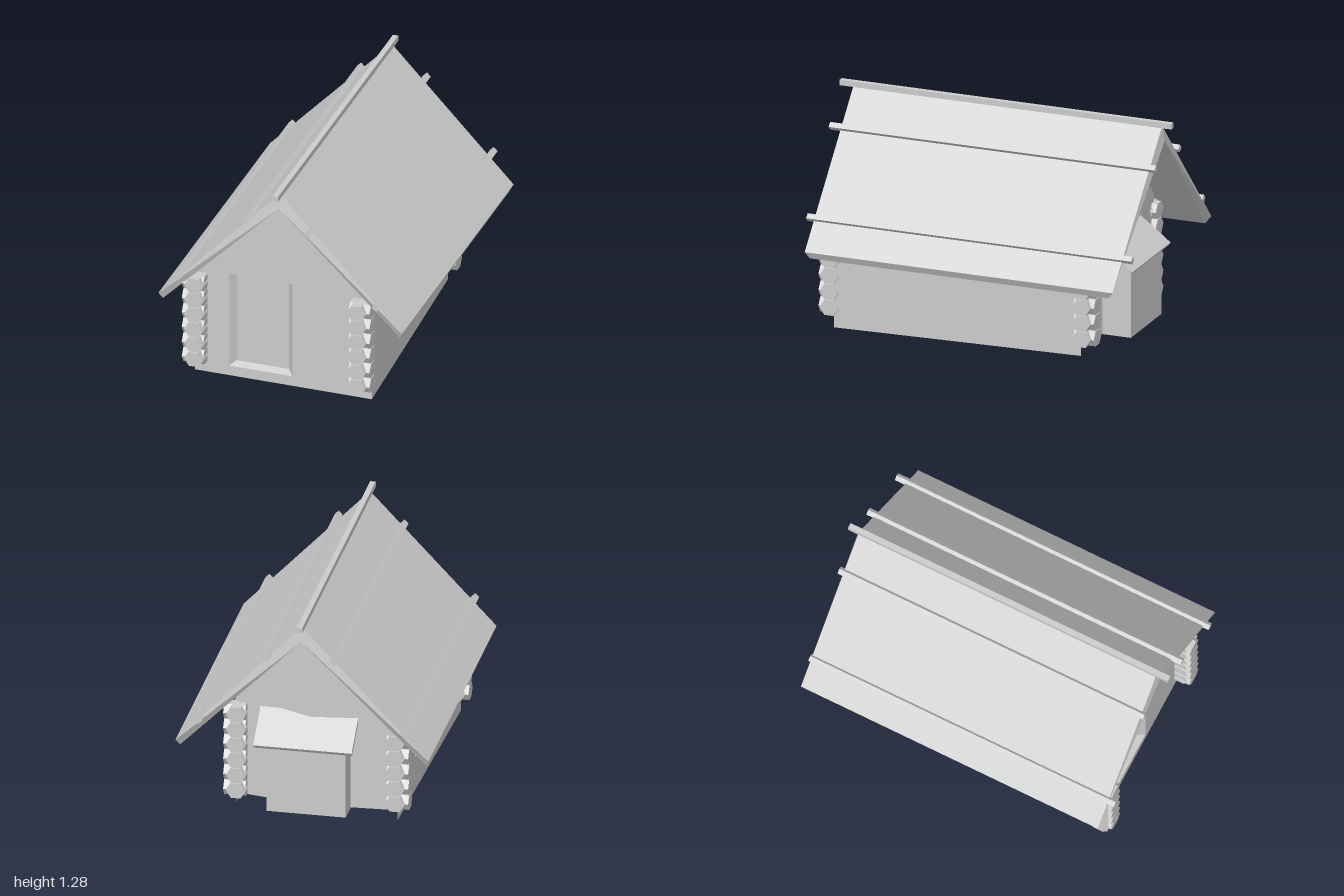
import * as THREE from 'three';

const material = new THREE.MeshStandardMaterial({ color: 0xcccccc, flatShading: true, side: THREE.DoubleSide });

function addMesh(parent, name, geometry, x = 0, y = 0, z = 0) {
  const mesh = new THREE.Mesh(geometry, material);
  mesh.name = name;
  mesh.position.set(x, y, z);
  parent.add(mesh);
  return mesh;
}

function indexedGeometry(positions, index) {
  const geometry = new THREE.BufferGeometry();
  geometry.setAttribute('position', new THREE.Float32BufferAttribute(positions, 3));
  geometry.setIndex(index);
  geometry.computeVertexNormals();
  return geometry;
}

const toVectors = (points) => points.map(([x, y]) => new THREE.Vector2(x, y));
const rectangle = (x0, y0, x1, y1) => [[x0, y0], [x1, y0], [x1, y1], [x0, y1]];
const roofHeight = (x) => 1.17 - 1.02 * Math.abs(x);

// Thin wall running from plan point a to b, with an optional splayed recess
function addWall(parent, name, a, b, outline, recess) {
  const wall = new THREE.Group();
  wall.name = name;
  wall.position.set(a[0], 0, a[1]);
  wall.rotation.y = Math.atan2(a[1] - b[1], b[0] - a[0]);
  const shape = new THREE.Shape(toVectors(outline));
  if (recess) {
    const { rect: [x0, y0, x1, y1], splay: [sx, sy], depth } = recess;
    const outer = rectangle(x0, y0, x1, y1);
    const inner = rectangle(x0 + sx, y0 + sy, x1 - sx, y1 - sy);
    shape.holes.push(new THREE.Path(toVectors(outer)));
    const positions = [], index = [];
    for (let i = 0; i < 4; i++) {
      const j = (i + 1) % 4;
      positions.push(...outer[i], 0, ...inner[i], -depth);
      index.push(2 * i, 2 * j, 2 * j + 1, 2 * i, 2 * j + 1, 2 * i + 1);
    }
    addMesh(wall, recess.name + 'Frame', indexedGeometry(positions, index));
    addMesh(wall, recess.name + 'Panel',
      new THREE.ShapeGeometry(new THREE.Shape(toVectors(inner))), 0, 0, -depth);
  }
  addMesh(wall, name + 'Face', new THREE.ShapeGeometry(shape));
  parent.add(wall);
}

// Hexagonal log end with flat top and bottom, lying along z
function logEnd() {
  const geometry = new THREE.CylinderGeometry(0.056, 0.056, 0.125, 6);
  geometry.rotateY(Math.PI / 2);
  geometry.rotateX(Math.PI / 2);
  return geometry.scale(1, 0.91, 1);
}

export function createModel() {
  const model = new THREE.Group();
  model.name = 'logCabin';

  // Plan corners as [x, z]; the cabin narrows towards the back, which bulges at mid-width
  const frontLeft = [-0.535, 0.83], frontRight = [0.51, 0.83];
  const backRight = [0.44, -0.63], backMiddle = [0, -0.71], backLeft = [-0.49, -0.685];

  // Straight wall between two corners, reaching up to the roof
  const panel = (a, b, foot) => {
    const length = Math.hypot(b[0] - a[0], b[1] - a[1]);
    return [[0, foot], [length, foot], [length, roofHeight(b[0])], [0, roofHeight(a[0])]];
  };
  const width = frontRight[0] - frontLeft[0];
  addWall(model, 'frontWall', frontLeft, frontRight,
    [[0, 0], [width, 0], [width, roofHeight(frontRight[0])], [-frontLeft[0], 1.17], [0, roofHeight(frontLeft[0])]],
    { name: 'door', rect: [0.2, 0.06, 0.575, 0.645], splay: [0.033, 0.02], depth: 0.04 });
  addWall(model, 'backWallRight', backRight, backMiddle, panel(backRight, backMiddle, 0.065));
  addWall(model, 'backWallLeft', backMiddle, backLeft, panel(backMiddle, backLeft, 0.065));
  addWall(model, 'plainWall', frontRight, backRight, panel(frontRight, backRight, 0));
  addWall(model, 'windowWall', backLeft, frontLeft, panel(backLeft, frontLeft, 0),
    { name: 'window', rect: [0.42, 0.2, 0.69, 0.47], splay: [0.025, 0.025], depth: 0.05 });

  // Crossed log ends at the four corners; each crossing is pushed slightly outwards
  const logZ = logEnd(), logX = logEnd().rotateY(Math.PI / 2);
  for (const [x, z] of [[-0.511, 0.855], [0.45, 0.855], [0.422, -0.652], [-0.482, -0.652]]) {
    const corner = new THREE.Group();
    corner.name = 'cornerLogs';
    for (let i = 0; i < 6; i++) {
      const y = 0.115 + i * 0.093;
      addMesh(corner, 'sideLogEnd', logX, x + Math.sign(x) * 0.012, y, z);
      addMesh(corner, 'gableLogEnd', logZ, x, y, z + Math.sign(z) * 0.008);
    }
    model.add(corner);
  }

  // Roof section from the ridge round: x, y, front z, back z
  const section = [
    [0, 1.255, 0.922, -0.938], [-0.72, 0.497, 0.92, -0.936], [-0.7, 0.457, 0.897, -0.907],
    [0, 1.17, 0.937, -0.952], [0.7, 0.457, 0.897, -0.907], [0.72, 0.497, 0.92, -0.936],
  ];
  const positions = [], index = [];
  section.forEach(([x, y, front, back], i) => {
    const a = 2 * i, b = 2 * ((i + 1) % 6);
    positions.push(x, y, front, x, y, back);
    index.push(a, a + 1, b + 1, a, b + 1, b);
  });
  for (const [a, b, c] of [[0, 1, 3], [1, 2, 3], [0, 3, 5], [3, 4, 5]]) {
    index.push(2 * a, 2 * b, 2 * c, 2 * a + 1, 2 * c + 1, 2 * b + 1);
  }
  addMesh(model, 'roof', indexedGeometry(positions, index));

  // Ridge beam and battens: x, y, back end, front end
  const battens = [
    [0, 1.263, -1, 1],
    [-0.192, 1.066, -0.965, 0.945], [0.192, 1.066, -0.98, 0.985],
    [-0.59, 0.643, -0.945, 0.965], [0.58, 0.654, -1, 0.96],
  ];
  for (const [x, y, z0, z1] of battens) {
    const batten = addMesh(model, x ? 'roofBatten' : 'ridgeBeam',
      new THREE.BoxGeometry(0.032, 0.032, z1 - z0), x, y, (z0 + z1) / 2);
    if (x) batten.rotation.z = Math.PI / 4;
  }

  // Box set through the back wall, under a sloping lid
  const profile = [[0.52, 0.065], [0.84, 0.065], [0.84, 0.485], [0.68, 0.605], [0.52, 0.605]];
  const box = new THREE.ExtrudeGeometry(new THREE.Shape(toVectors(profile)),
    { depth: 0.45, bevelEnabled: false });
  box.rotateY(Math.PI / 2);
  addMesh(model, 'backBox', box, -0.228);
  const lid = addMesh(model, 'backBoxLid', new THREE.BoxGeometry(0.56, 0.025, 0.25), 0.01, 0.542, -0.77);
  lid.rotation.x = -0.65;

  return model;
}
